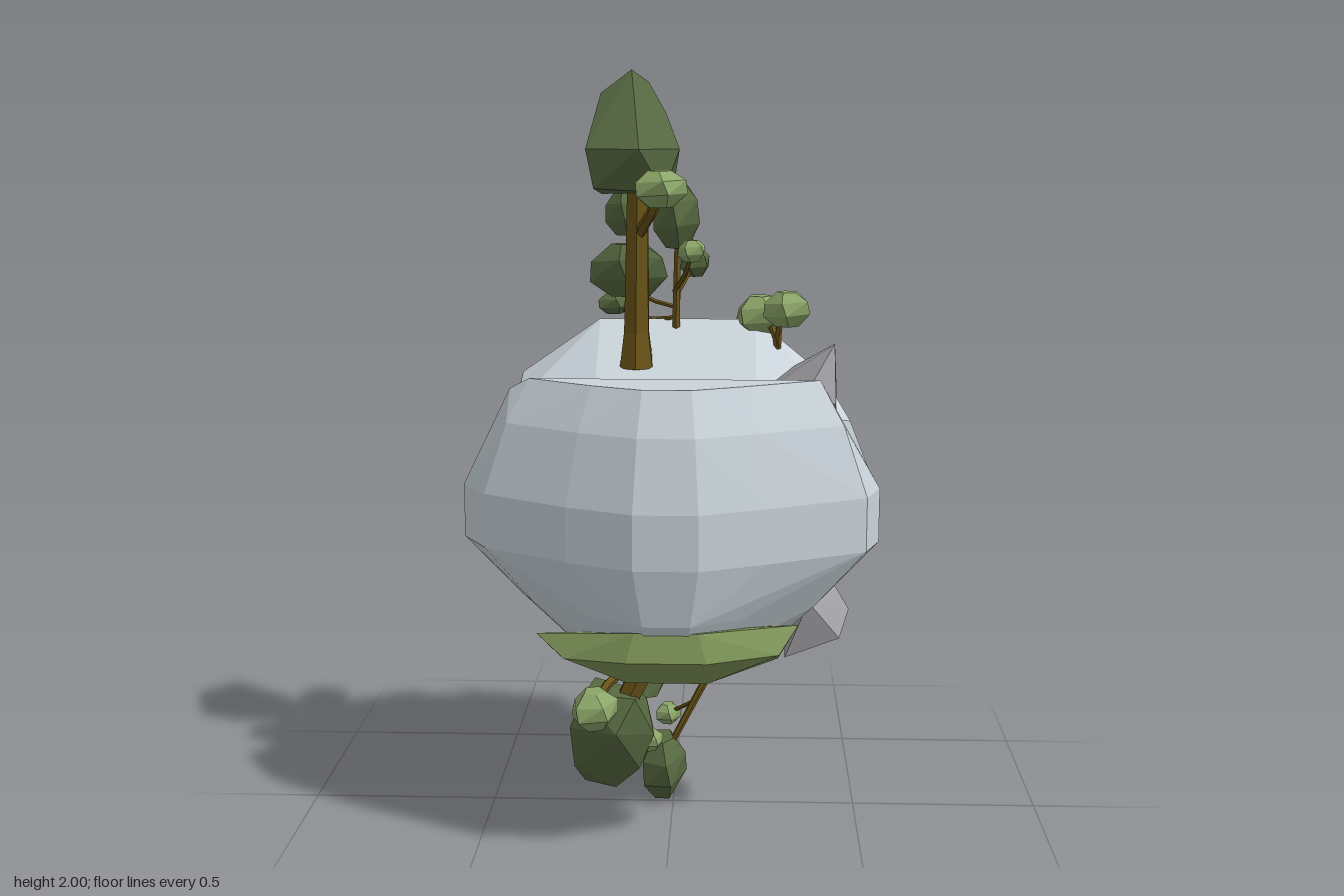
import * as THREE from 'three';
import { ConvexGeometry } from 'three/addons/geometries/ConvexGeometry.js';

const mat = (color) => new THREE.MeshStandardMaterial({ color, flatShading: true });
const ROCK = mat(0xcad4da), STONE = mat(0x9c9ca0), DARK = mat(0x566840), LIGHT = mat(0x8ba668), MOSS = mat(0x7c9257), BARK = mat(0x6a5418);
const V = (p) => new THREE.Vector3(...p);

// Faceted solid wrapped around a few corner points
function hull(parent, name, points, material) {
  const mesh = new THREE.Mesh(new ConvexGeometry(points.map(V)), material);
  mesh.name = name;
  parent.add(mesh);
}

// Chunky faceted clump: five-sided rings, slightly tilted
function clump(parent, name, [x, y, z], [rx, ry, rz], material) {
  const pts = [];
  [[-1, 0.5], [-0.35, 1], [0.4, 0.95], [1, 0.45]].forEach(([h, r], k) => {
    for (let i = 0; i < 5; i++) {
      const a = (i + 0.15 * k) * Math.PI * 0.4 + x * 9;
      const tilt = 0.2 * r * Math.sin(a + 1) * (1 - Math.abs(h));
      pts.push([x + rx * r * Math.cos(a), y + ry * (h + tilt), z + rz * r * Math.sin(a)]);
    }
  });
  hull(parent, name, pts, material);
}

// Tapered straight limb between two points
function limb(parent, name, from, to, r0, r1) {
  const a = V(from), b = V(to), d = b.clone().sub(a);
  const mesh = new THREE.Mesh(new THREE.CylinderGeometry(r1, r0, d.length(), 6), BARK);
  mesh.position.copy(a).add(b).multiplyScalar(0.5);
  mesh.quaternion.setFromUnitVectors(new THREE.Vector3(0, 1, 0), d.normalize());
  mesh.name = name;
  parent.add(mesh);
}

// Curved twig
function twig(parent, points, r = 0.009) {
  const mesh = new THREE.Mesh(new THREE.TubeGeometry(new THREE.CatmullRomCurve3(points.map(V)), 6, r, 5), BARK);
  mesh.name = 'branch';
  parent.add(mesh);
}

function group(parent, name) {
  const g = new THREE.Group();
  g.name = name;
  parent.add(g);
  return g;
}

// Plan outlines (x, z) of the boulder's slabs, split where cracks run down the sides
const slabs = {
  front: [[-0.48, -0.07], [-0.54, 0.16], [-0.47, 0.28], [-0.25, 0.42], [-0.08, 0.5], [0.08, 0.5], [0.25, 0.42],
    [0.5, 0.29], [0.54, 0.18], [0.5, -0.07]],
  back: [[0.34, -0.23], [0.37, -0.33], [0.25, -0.4], [0.08, -0.47], [-0.14, -0.47], [-0.25, -0.39], [-0.26, -0.31]],
  backLeft: [[0.53, 0.1], [0.5, -0.07], [0.34, -0.23]],
  backRight: [[-0.26, -0.31], [-0.32, -0.3], [-0.48, -0.07]],
};
// Levels: y, x scale, z scale
const levels = [[0.5, 0.45, 0.78], [0.65, 0.74, 0.94], [0.8, 1, 1], [0.94, 1, 1], [1.12, 0.88, 0.92], [1.23, 0.76, 0.81]];

function buildBoulder(root) {
  const g = group(root, 'boulder');
  const base = [[-0.1, 0.43, 0], [0.2, 0.43, 0], [0.18, 0.44, -0.1], [-0.08, 0.44, -0.1]];
  const stack = (outline, place) => levels.flatMap((level) => outline.map((p) => place(level, p))).concat(base);
  const frontPoint = ([y, sx, sz], [x, z]) => [x * sx, z < 0.25 ? Math.min(y, x > 0 ? 0.95 : 1.03) : y, z * sz];
  const backPoint = ([y, sx, sz], [x, z]) => [x * sx, Math.min(y, z > 0 ? 1.1 : 1.2), z * (y > 1 ? sz - 0.06 : sz)];
  const slope = [[-0.2, 1.345, -0.09], [0.22, 1.345, -0.09], [-0.2, 1.14, 0.18], [0.22, 1.14, 0.18]];
  hull(g, 'frontSlab', [...stack(slabs.front, frontPoint), [-0.41, 1.2, 0.2], [-0.2, 1.12, 0.18], [0.2, 1.12, 0.18]], ROCK);
  hull(g, 'backSlab', [...stack(slabs.back, backPoint), ...slope, [-0.08, 1.28, -0.27], [0.08, 1.28, -0.27]], ROCK);
  hull(g, 'backLeftSlab', [...stack(slabs.backLeft, backPoint), ...slope, [0.33, 1.13, 0.1], [0.4, 1.2, -0.07]], ROCK);
  hull(g, 'backRightSlab', [...stack(slabs.backRight, backPoint), ...slope, [-0.41, 1.14, 0.08], [-0.41, 1.2, -0.08]], ROCK);
}

function buildStones(root) {
  const g = group(root, 'stones');
  hull(g, 'rimSpike', [[0.19, 1.15, 0.14], [0.32, 1.24, 0.05], [0.42, 1.31, 0.14], [0.43, 1.22, 0.04],
    [0.42, 1.17, 0.24], [0.34, 1.19, 0.25], [0.34, 1.03, 0.13], [0.43, 1.08, 0.12]], STONE);
  hull(g, 'sideStone', [[0.3, 0.49, 0.2], [0.47, 0.6, 0.12], [0.42, 0.52, 0.15], [0.42, 0.67, 0.04],
    [0.36, 0.64, 0.2], [0.3, 0.52, 0.07], [0.44, 0.55, 0.22]], STONE);
  hull(g, 'hangingStone', [[-0.05, 0.5, -0.13], [0.12, 0.52, -0.14], [0.12, 0.58, -0.39], [-0.08, 0.58, -0.38],
    [0.02, 0.27, -0.27], [0.01, 0.31, -0.32], [0.09, 0.4, -0.2], [-0.01, 0.39, -0.18], [0.08, 0.44, -0.36]], STONE);
  clump(g, 'chip', [0.09, 0.52, -0.38], [0.045, 0.035, 0.045], STONE);
  clump(g, 'lowStone', [-0.23, 0.56, -0.2], [0.09, 0.06, 0.08], STONE);
}

function buildMoss(root) {
  const g = group(root, 'moss');
  hull(g, 'frontMoss', [[-0.34, 0.58, 0.3], [-0.08, 0.63, 0.455], [0.08, 0.63, 0.455], [0.33, 0.615, 0.32],
    [-0.1, 0.56, 0.48], [0.1, 0.56, 0.48], [-0.26, 0.545, 0.4], [0.28, 0.56, 0.4],
    [-0.28, 0.52, 0.3], [-0.1, 0.49, 0.42], [0.1, 0.49, 0.42], [0.28, 0.52, 0.3]], MOSS);
  hull(g, 'backMossUpper', [[0.12, 1.13, -0.36], [0.21, 1.12, -0.34], [0.29, 0.96, -0.42], [0.27, 0.84, -0.42],
    [0.24, 0.9, -0.48], [0.08, 1.07, -0.44], [0.12, 0.9, -0.49], [0.16, 1.07, -0.43]], DARK);
  hull(g, 'backMossTail', [[0, 1.07, -0.47], [-0.03, 0.77, -0.5], [0.1, 0.9, -0.5], [0.12, 1.09, -0.43],
    [-0.04, 0.95, -0.49], [0.02, 0.8, -0.47]], DARK);
}

function buildUpperTrees(root) {
  const g = group(root, 'upperTrees');
  limb(g, 'trunkFlare', [-0.095, 1.23, 0.03], [-0.095, 1.33, 0.03], 0.05, 0.036);
  limb(g, 'trunk', [-0.095, 1.31, 0.03], [-0.09, 1.74, 0.03], 0.037, 0.03);
  hull(g, 'crown', [[-0.2, 1.7, 0.1], [-0.02, 1.69, 0.11], [-0.19, 1.68, -0.04], [0, 1.7, -0.05], [-0.22, 1.8, 0.1],
    [0.02, 1.8, 0.08], [-0.08, 1.8, 0.155], [-0.22, 1.8, 0], [0, 1.79, -0.08], [-0.1, 1.76, -0.12],
    [-0.02, 1.89, -0.04], [-0.19, 1.94, -0.04], [-0.11, 2, -0.05], [-0.07, 1.97, -0.14]], DARK);
  twig(g, [[-0.09, 1.57, 0.03], [-0.07, 1.61, 0.08], [-0.05, 1.64, 0.13], [-0.03, 1.69, 0.17]], 0.015);
  clump(g, 'leaves', [-0.025, 1.705, 0.21], [0.07, 0.045, 0.085], LIGHT);
  // sapling behind the main trunk
  limb(g, 'saplingTrunk', [0.005, 1.3, -0.07], [0.01, 1.6, -0.08], 0.012, 0.009);
  twig(g, [[0, 1.4, -0.07], [0.03, 1.45, -0.12], [0.05, 1.5, -0.16]], 0.006);
  twig(g, [[0, 1.42, -0.07], [0.03, 1.47, -0.03], [0.05, 1.53, 0.01]], 0.006);
  twig(g, [[0, 1.38, -0.07], [-0.07, 1.4, -0.09], [-0.13, 1.45, -0.1]], 0.006);
  twig(g, [[0, 1.35, -0.07], [-0.08, 1.34, -0.14], [-0.17, 1.37, -0.19]], 0.006);
  clump(g, 'leaves', [0.005, 1.62, -0.12], [0.065, 0.085, 0.13], DARK);
  clump(g, 'leaves', [-0.12, 1.475, -0.1], [0.11, 0.07, 0.07], DARK);
  clump(g, 'leaves', [-0.13, 1.63, -0.08], [0.055, 0.06, 0.06], DARK);
  clump(g, 'leaves', [0.05, 1.535, 0.01], [0.038, 0.028, 0.044], LIGHT);
  clump(g, 'leaves', [0.055, 1.49, -0.16], [0.042, 0.037, 0.045], DARK);
  clump(g, 'leaves', [-0.17, 1.375, -0.19], [0.05, 0.028, 0.045], DARK);
  // shrub on the rim
  twig(g, [[0.28, 1.2, -0.04], [0.27, 1.31, -0.04], [0.23, 1.36, -0.09]]);
  twig(g, [[0.28, 1.2, -0.04], [0.28, 1.33, -0.03], [0.3, 1.39, 0.01]]);
  clump(g, 'leaves', [0.23, 1.355, -0.1], [0.07, 0.052, 0.075], LIGHT);
  clump(g, 'leaves', [0.3, 1.385, 0.02], [0.064, 0.045, 0.068], LIGHT);
}

function buildLowerTrees(root) {
  const g = group(root, 'lowerTrees');
  limb(g, 'trunk', [-0.03, 0.5, 0.03], [-0.17, 0.22, 0.03], 0.04, 0.028);
  hull(g, 'crown', [[-0.24, 0.34, 0.08], [-0.1, 0.33, 0.09], [-0.22, 0.34, -0.06], [-0.08, 0.3, -0.06],
    [-0.28, 0.24, 0.07], [-0.15, 0.24, 0.125], [-0.05, 0.22, 0.06], [-0.28, 0.22, -0.02], [-0.06, 0.2, -0.07],
    [-0.25, 0.04, -0.05], [-0.17, 0.035, -0.1], [-0.16, 0.04, 0], [-0.27, 0.12, 0.05], [-0.09, 0.12, 0.06]], DARK);
  twig(g, [[-0.08, 0.4, 0.03], [-0.12, 0.41, 0.08], [-0.17, 0.39, 0.14], [-0.2, 0.35, 0.19]], 0.013);
  clump(g, 'leaves', [-0.2, 0.345, 0.21], [0.065, 0.05, 0.085], LIGHT);
  clump(g, 'leaves', [-0.075, 0.365, -0.07], [0.068, 0.075, 0.08], LIGHT);
  // thin leaning sapling
  limb(g, 'saplingTrunk', [0.16, 0.47, -0.09], [-0.01, 0.14, -0.07], 0.012, 0.009);
  twig(g, [[0.06, 0.27, -0.08], [0.02, 0.24, -0.11], [-0.02, 0.21, -0.14]], 0.006);
  clump(g, 'leaves', [-0.02, 0.21, -0.14], [0.038, 0.028, 0.045], LIGHT);
  clump(g, 'leaves', [-0.06, 0.19, 0.02], [0.034, 0.028, 0.044], LIGHT);
  clump(g, 'leaves', [-0.03, 0.085, -0.07], [0.066, 0.082, 0.138], DARK);
}

export function createModel() {
  const root = new THREE.Group();
  root.name = 'floatingBoulder';
  [buildBoulder, buildStones, buildMoss, buildUpperTrees, buildLowerTrees].forEach((build) => build(root));
  return root;
}
